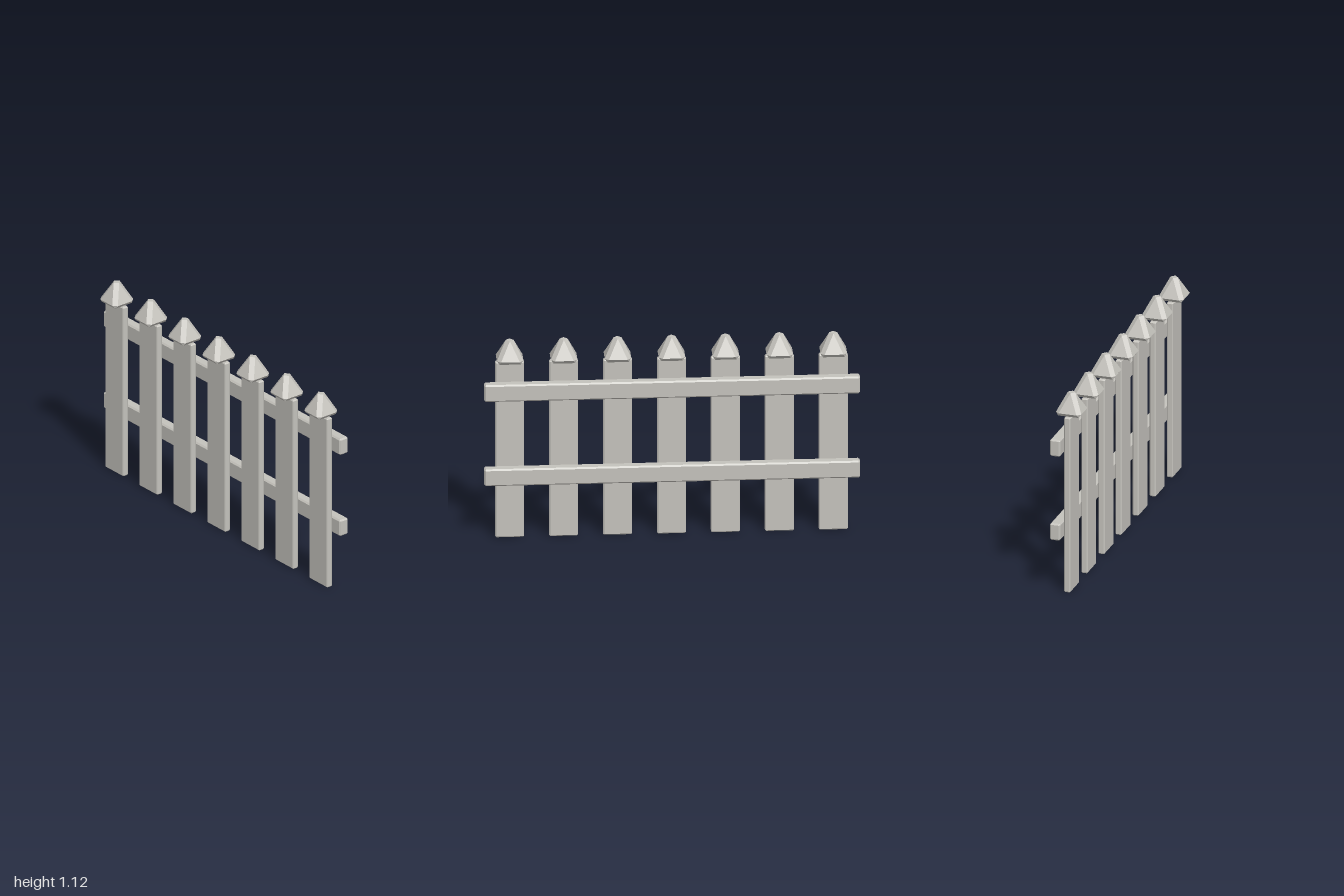
import * as THREE from 'three';
import { ConvexGeometry } from 'three/addons/geometries/ConvexGeometry.js';

const SIGNS = [-1, 1];

// Box with a flat chamfer of size b along every edge
function chamferedBox(w, h, d, b) {
  const x = w / 2, y = h / 2, z = d / 2;
  const points = [];
  for (const sx of SIGNS) for (const sy of SIGNS) for (const sz of SIGNS) {
    points.push(
      new THREE.Vector3(sx * x, sy * (y - b), sz * (z - b)),
      new THREE.Vector3(sx * (x - b), sy * y, sz * (z - b)),
      new THREE.Vector3(sx * (x - b), sy * (y - b), sz * z)
    );
  }
  return new ConvexGeometry(points);
}

// Square pyramid with bevelled edges and a clipped tip, base at y = 0
function pyramidCap() {
  const points = [];
  for (const s of SIGNS) {
    points.push(new THREE.Vector3(s * 0.021, 0.12, 0), new THREE.Vector3(0, 0.12, s * 0.021));
    for (const t of SIGNS) {
      points.push(
        new THREE.Vector3(s * 0.071, 0.018, t * 0.05),
        new THREE.Vector3(s * 0.05, 0.018, t * 0.071),
        new THREE.Vector3(s * 0.057, 0, t * 0.057)
      );
    }
  }
  return new ConvexGeometry(points);
}

export function createModel() {
  const model = new THREE.Group();
  model.name = 'picketFence';

  const paint = new THREE.MeshStandardMaterial({ color: 0xc4c2bc });
  paint.name = 'pale grey paint';

  const add = (name, geometry, parent, x, y, z) => {
    const mesh = new THREE.Mesh(geometry, paint);
    mesh.name = name;
    mesh.position.set(x, y, z);
    parent.add(mesh);
  };

  // Seven upright boards, each with a pointed cap
  const boardGeometry = chamferedBox(0.154, 1, 0.036, 0.006);
  const capGeometry = pyramidCap();
  for (let i = -3; i <= 3; i++) {
    const picket = new THREE.Group();
    picket.name = 'picket';
    picket.position.set(i * 0.287, 0, 0.003);
    add('board', boardGeometry, picket, 0, 0.5, 0);
    add('cap', capGeometry, picket, 0, 1, 0);
    model.add(picket);
  }

  // Two rails across the back
  const railGeometry = chamferedBox(2, 0.096, 0.058, 0.008);
  add('lowerRail', railGeometry, model, 0, 0.363, -0.045);
  add('upperRail', railGeometry, model, 0, 0.843, -0.045);

  return model;
}
